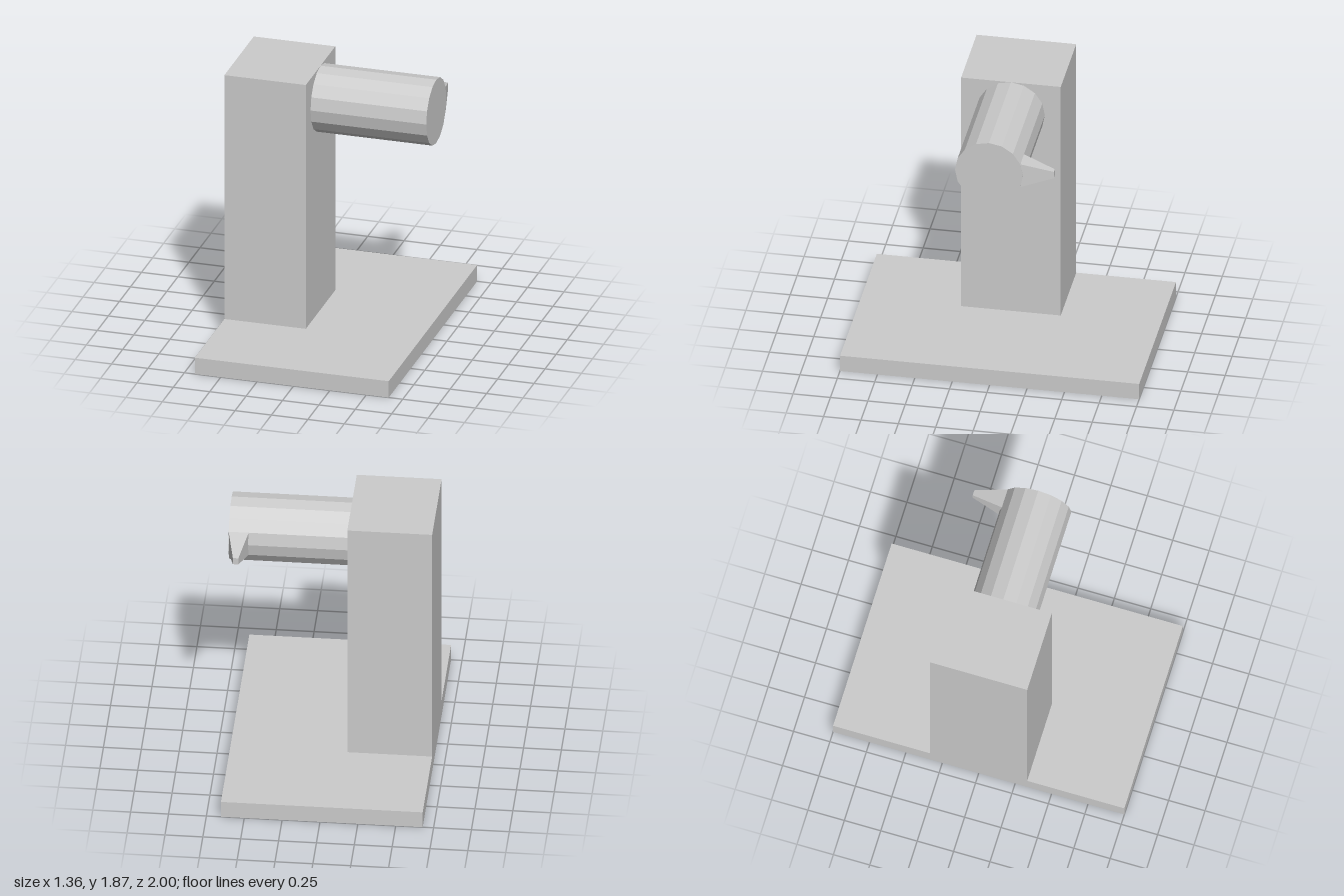
import * as THREE from 'three';

const material = new THREE.MeshStandardMaterial({ color: 0xcccccc, flatShading: true });

function addPart(group, name, geometry, x, y, z) {
  const mesh = new THREE.Mesh(geometry, material);
  mesh.name = name;
  mesh.position.set(x, y, z);
  group.add(mesh);
}

// Box whose back (-z) end shrinks to the given size
function taperedBox(width, height, depth, tipWidth, tipHeight) {
  const geometry = new THREE.BoxGeometry(width, height, depth);
  const p = geometry.attributes.position;
  for (let i = 0; i < p.count; i++) {
    if (p.getZ(i) < 0) {
      p.setX(i, Math.sign(p.getX(i)) * tipWidth / 2);
      p.setY(i, Math.sign(p.getY(i)) * tipHeight / 2);
    }
  }
  geometry.computeVertexNormals();
  return geometry;
}

export function createModel() {
  const group = new THREE.Group();
  group.name = 'standWithBarrel';
  const axisY = 1.638;

  // Flat base plate and upright column
  addPart(group, 'base', new THREE.BoxGeometry(1.332, 0.117, 2), -0.012, 0.0585, 0);
  addPart(group, 'column', new THREE.BoxGeometry(0.56, 1.748, 0.666), -0.398, 0.991, 0);

  // Sixteen-sided horizontal barrel
  const barrel = new THREE.CylinderGeometry(0.227, 0.227, 0.797, 16);
  barrel.rotateZ(Math.PI / 2);
  addPart(group, 'barrel', barrel, 0.2785, axisY, 0);

  // Tapered spout on the back of the barrel's free end
  addPart(group, 'spout', taperedBox(0.132, 0.174, 0.215, 0.036, 0.048), 0.611, axisY, -0.3175);

  return group;
}
